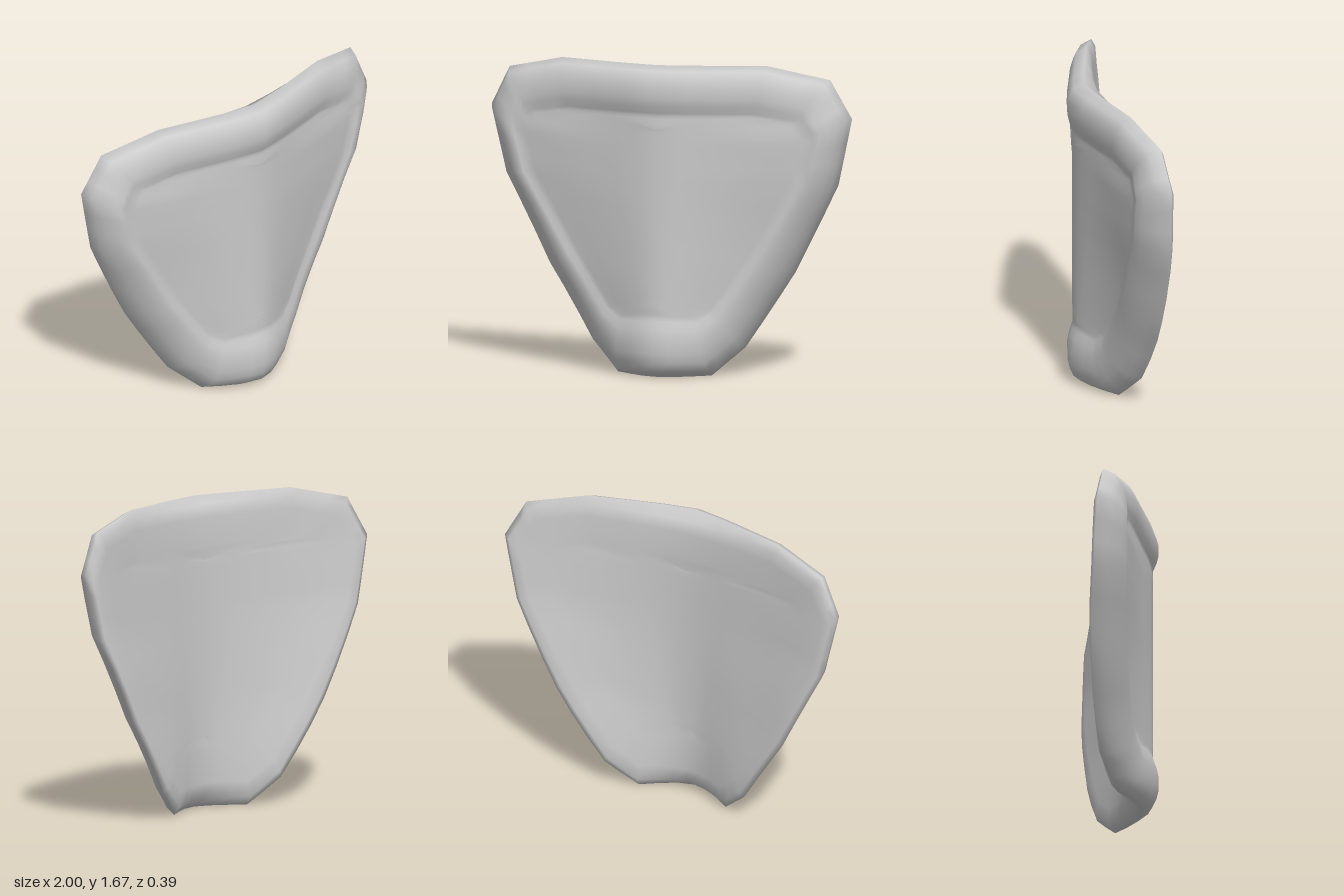
import * as THREE from 'three';
import { mergeVertices } from 'three/addons/utils/BufferGeometryUtils.js';

// Half of the outer outline, and the matching inner edge of the raised rim (bottom to top)
const OUTER = [[0, 0], [0.26, 0], [0.42, 0.145], [0.68, 0.55], [0.92, 1.03], [1, 1.39], [0.89, 1.6], [0.57, 1.675], [0, 1.675]];
const INNER = [[0, 0.32], [0.21, 0.31], [0.29, 0.36], [0.48, 0.63], [0.74, 1.06], [0.8, 1.28], [0.74, 1.38], [0.52, 1.415], [0, 1.415]];
// How strongly the plate folds back at each height: [y, slope]
const FOLD = [[0, 0.84], [0.145, 0.72], [0.3, 0.625], [0.55, 0.485], [1.03, 0.335], [1.39, 0.285], [1.6, 0.276], [1.675, 0.263]];
const CENTRE_Y = 0.87;
const { lerp, smoothstep } = THREE.MathUtils;

// Mirrors a half outline and subdivides its edges into a counterclockwise loop
function loop(half, steps = 3) {
  const pts = [...half, ...half.slice(1, -1).reverse().map(([x, y]) => [-x, y])];
  return pts.flatMap(([x, y], i) => {
    const [nx, ny] = pts[(i + 1) % pts.length];
    return Array.from({ length: steps }, (_, s) => [lerp(x, nx, s / steps), lerp(y, ny, s / steps)]);
  });
}

// Depth of the folded middle surface: a V with a rounded keel, tighter at the bottom
function foldZ(x, y) {
  let i = 0;
  while (i < FOLD.length - 2 && y > FOLD[i + 1][0]) i++;
  const [y0, s0] = FOLD[i], [y1, s1] = FOLD[i + 1];
  const slope = lerp(s0, s1, (y - y0) / (y1 - y0));
  const r = lerp(0.13, 0.06, y / 1.675);
  return 0.1 - slope * (Math.hypot(x, r) - r);
}

// Thickness behind the middle surface, thinner towards the sides
const backOffset = (x) => -0.088 + 0.06 * Math.min(1, Math.abs(x) / 0.5);

// Extra thickness in front along the side rims, fading out at the top rim
const sideBulge = (x, y, t) =>
  0.05 * Math.min(1, (x / 0.65) ** 2) * Math.min(1, t / 0.65) * (1 - 0.75 * smoothstep(y, 1.25, 1.5));

function plateGeometry() {
  const outer = loop(OUTER), inner = loop(INNER), n = outer.length;
  // Rings from the back keel, round the edge, over the rim, to the front keel:
  // t = outer to inner outline, k = width scale, front = offset (null on the back)
  const rings = [
    ...[0, 0.15, 0.3, 0.5, 0.75, 1].map((k) => ({ t: 1, k, front: null })),
    { t: 0.42, k: 1, front: null },
    { t: 0.15, k: 1, front: null, fade: 0.8 },
    { t: 0, k: 1, front: 0 },
    { t: 0.1, k: 1, front: 0.055 },
    { t: 0.25, k: 1, front: 0.077 },
    { t: 0.42, k: 1, front: 0.089 },
    { t: 0.65, k: 1, front: 0.089 },
    { t: 0.82, k: 1, front: 0.078 },
    { t: 0.96, k: 1, front: 0.063 },
    ...[0.95, 0.75, 0.5, 0.3, 0.15, 0].map((k) => ({ t: 1, k, front: 0.058 })),
  ];
  const positions = [], index = [];
  rings.forEach(({ t, k, front, fade = 1 }, j) => {
    for (let i = 0; i < n; i++) {
      const x = lerp(outer[i][0], inner[i][0], t) * k;
      // Inside the rim the rings shrink onto the keel line
      const y = lerp(lerp(outer[i][1], inner[i][1], t), CENTRE_Y, 0.15 * (1 - k));
      const offset = front === null ? backOffset(x) * fade : front + sideBulge(x, y, t);
      positions.push(x, y, foldZ(x, y) + offset);
      if (j === rings.length - 1) continue;
      const a = j * n + i, b = j * n + (i + 1) % n;
      index.push(a, b, b + n, a, b + n, a + n);
    }
  });
  const geo = new THREE.BufferGeometry();
  geo.setAttribute('position', new THREE.Float32BufferAttribute(positions, 3));
  geo.setIndex(index);
  // Welding closes both keel seams
  const merged = mergeVertices(geo, 1e-5);
  merged.computeVertexNormals();
  return merged;
}

export function createModel() {
  const group = new THREE.Group();
  group.name = 'foldedPlate';
  // One smooth shell: folded panel with a rounded raised rim
  const plate = new THREE.Mesh(plateGeometry(), new THREE.MeshStandardMaterial({ color: 0xcccccc }));
  plate.name = 'rimmedPlate';
  group.add(plate);
  return group;
}
